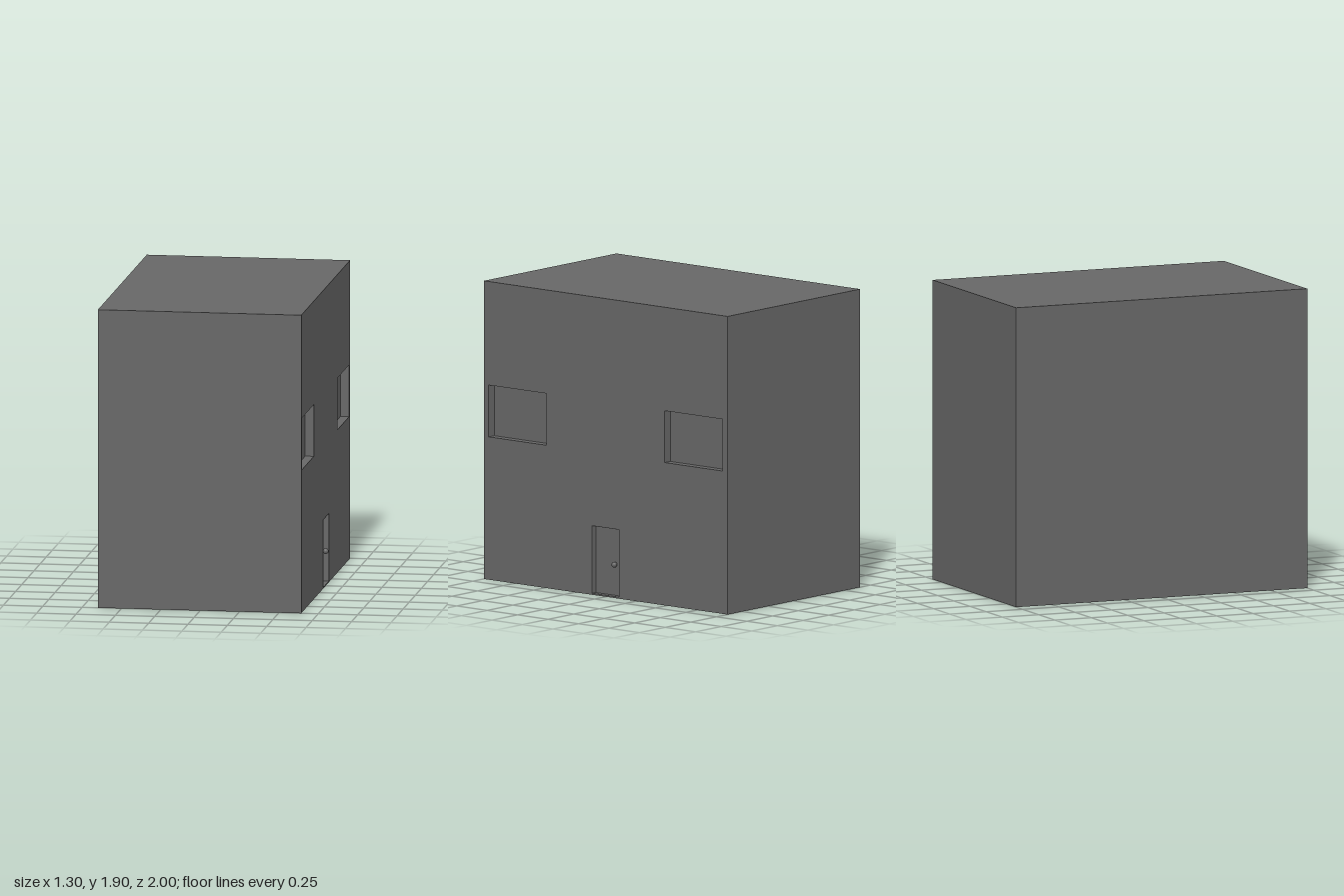
import * as THREE from 'three';

const material = new THREE.MeshStandardMaterial({ color: 0x666666, side: THREE.DoubleSide });
const LEFT = -0.65, WALL = 0.642;

function add(parent, name, geometry, x = 0, y = 0, z = 0) {
  const mesh = new THREE.Mesh(geometry, material);
  mesh.name = name;
  mesh.position.set(x, y, z);
  parent.add(mesh);
  return mesh;
}

// Box without the listed faces (0 +x, 1 -x, 2 +y, 3 -y, 4 +z, 5 -z)
function openBox(w, h, d, removed) {
  const geometry = new THREE.BoxGeometry(w, h, d);
  const index = Array.from(geometry.index.array);
  geometry.clearGroups();
  geometry.setIndex(index.filter((_, i) => !removed.includes(Math.floor(i / 6))));
  return geometry;
}

// Openings in the +x wall: centre z, bottom, width, height, depth, outer face
const openings = [
  { name: 'windowRecess', z: 0.722, y: 0.91, w: 0.476, h: 0.33, depth: 0.055, face: WALL },
  { name: 'windowRecess', z: -0.722, y: 0.91, w: 0.476, h: 0.33, depth: 0.055, face: WALL },
  { name: 'doorRecess', z: 0, y: 0.01, w: 0.22, h: 0.43, depth: 0.037, face: 0.645 },
];

export function createModel() {
  const house = new THREE.Group();
  house.name = 'house';

  // Shell, open underneath and on the side with the openings
  add(house, 'shell', openBox(WALL - LEFT, 1.9, 2, [0, 3]), (WALL + LEFT) / 2, 0.95, 0);

  // Wall with window and door holes
  const wall = new THREE.Shape();
  wall.moveTo(-1, 0).lineTo(1, 0).lineTo(1, 1.9).lineTo(-1, 1.9).closePath();
  for (const o of openings) {
    const a = -o.z - o.w / 2, b = -o.z + o.w / 2, top = o.y + o.h;
    const hole = new THREE.Path();
    hole.moveTo(a, o.y).lineTo(a, top).lineTo(b, top).lineTo(b, o.y).closePath();
    wall.holes.push(hole);
    // Jambs and recessed panel
    add(house, o.name, openBox(o.depth, o.h, o.w, [0]), o.face - o.depth / 2, o.y + o.h / 2, o.z);
  }
  add(house, 'doorWall', new THREE.ShapeGeometry(wall), WALL).rotation.y = Math.PI / 2;
  add(house, 'doorKnob', new THREE.SphereGeometry(0.018, 24, 16), 0.632, 0.21, -0.062);

  // Table inside, standing on three legs
  const table = new THREE.Group();
  table.name = 'table';
  house.add(table);
  add(table, 'tableTop', new THREE.BoxGeometry(0.73, 0.01, 0.71), -0.245, 0.41, 0.31);
  for (const [x, z] of [[0.08, -0.005], [0.08, 0.625], [-0.57, 0.625]]) {
    add(table, 'tableLeg', new THREE.BoxGeometry(0.08, 0.405, 0.08), x, 0.2025, z);
  }

  // Stairs: overlapping equal slabs rising toward the front
  const stairs = new THREE.Group();
  stairs.name = 'stairs';
  house.add(stairs);
  for (let i = 0; i < 11; i++) {
    add(stairs, 'step', new THREE.BoxGeometry(0.22, 0.024, 0.2), -0.19, 0.012 + i * 0.024, -0.895 + i * 0.054);
  }
  return house;
}
